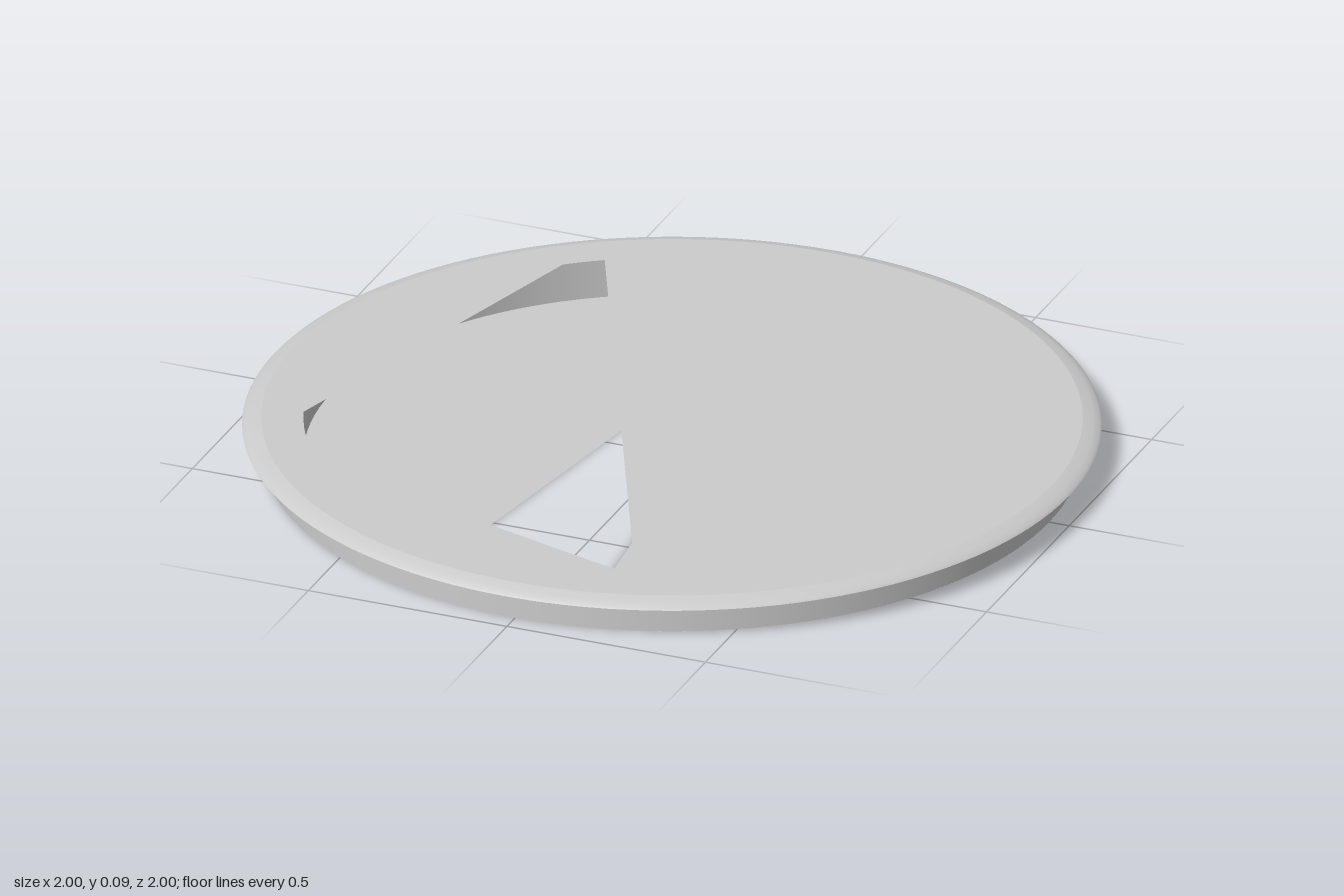
import * as THREE from 'three';

const CAVITY = 0.857, BODY = 0.95, TOP = 0.095, RIM = 0.077, SEGMENTS = 128;
const rad = THREE.MathUtils.degToRad;

export function createModel() {
  const group = new THREE.Group();
  const material = new THREE.MeshStandardMaterial({ color: 0xcccccc, side: THREE.DoubleSide });

  const add = (name, geometry, y = 0) => {
    const mesh = new THREE.Mesh(geometry, material);
    mesh.name = name;
    mesh.position.y = y;
    group.add(mesh);
  };

  // Ring surface turned from a short [radius, height] profile
  const band = (name, profile) =>
    add(name, new THREE.LatheGeometry(profile.map(([r, y]) => new THREE.Vector2(r, y)), SEGMENTS));

  // Thin disc with an opening whose sides are chords of the cavity circle,
  // joined by arcs [from, to] in degrees (equal values make a sharp corner)
  const plate = (name, radius, y, arcs) => {
    const disc = new THREE.Shape().absarc(0, 0, radius, 0, Math.PI * 2, false);
    const points = [];
    for (const [from, to] of arcs) {
      const steps = Math.ceil((to - from) / 3);
      for (let i = 0; i <= steps; i++) {
        const a = rad(from + (steps ? (to - from) * i / steps : 0));
        points.push(new THREE.Vector2(CAVITY * Math.cos(a), CAVITY * Math.sin(a)));
      }
    }
    disc.holes.push(new THREE.Path(points));
    add(name, new THREE.ShapeGeometry(disc, SEGMENTS).rotateX(-Math.PI / 2), y);
  };

  // Hollow body and overhanging lid rim
  band('outerWall', [[BODY, 0], [BODY, RIM]]);
  band('rimUnderside', [[BODY, RIM], [1, RIM]]);
  band('rimBevel', [[1, RIM], [0.995, 0.082], [0.98, 0.089], [0.955, TOP]]);
  band('cavityWall', [[CAVITY, TOP], [CAVITY, 0]]);

  // Lid and base, each with its own opening
  plate('lidPlate', 0.955, TOP, [[123.1, 129.8], [200.6, 219.8], [286.9, 286.9]]);
  plate('basePlate', BODY, 0, [[92.8, 92.8], [250.4, 279.1]]);

  return group;
}
